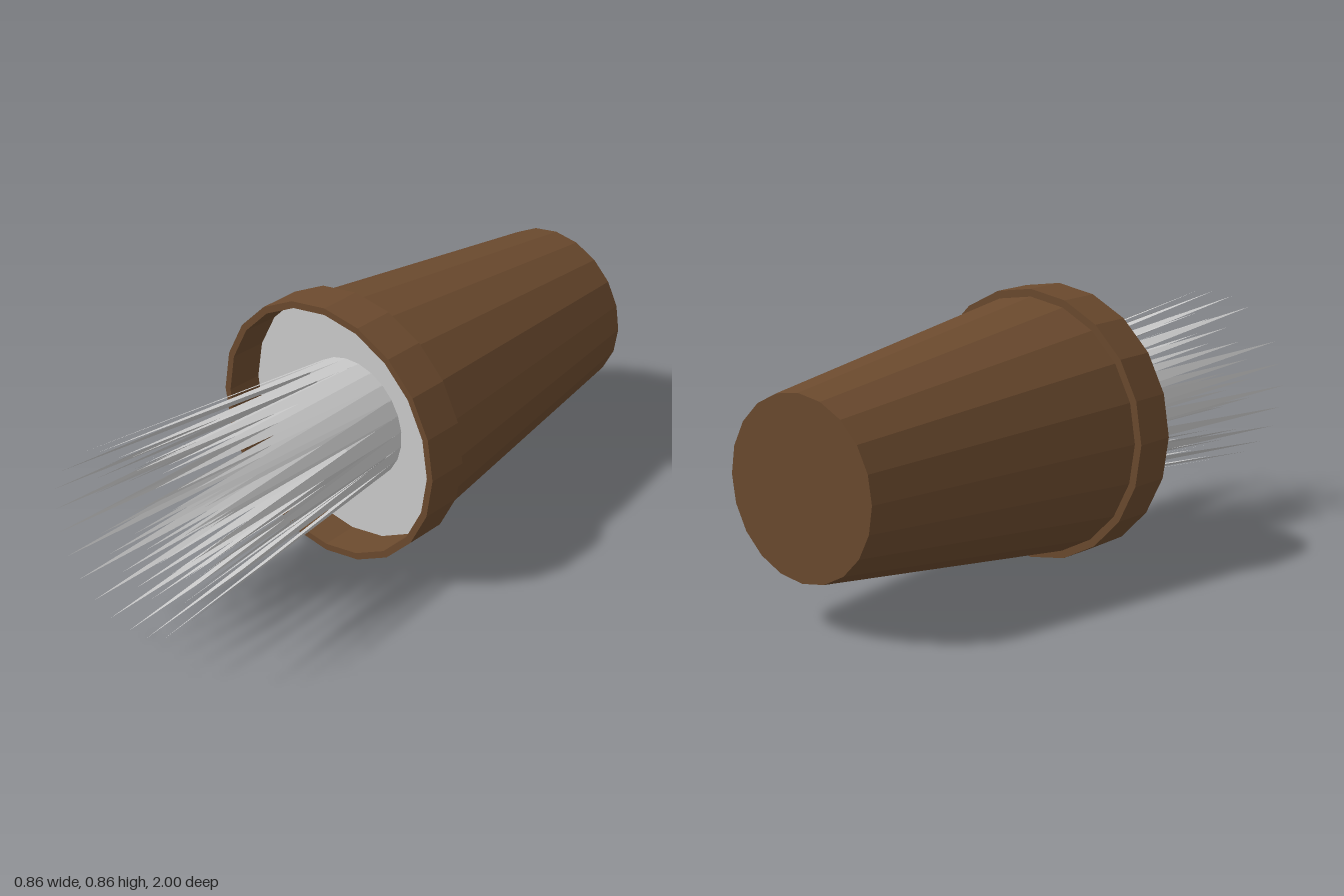
import * as THREE from 'three';

const SIDES = 20;
const SOIL_Z = 0.025;

// Turn an outline of [radius, z] points around the z axis
function turned(name, outline, material) {
  const points = outline.map(([r, z]) => new THREE.Vector2(r, z));
  const geometry = new THREE.LatheGeometry(points, SIDES).rotateX(Math.PI / 2);
  const mesh = new THREE.Mesh(geometry, material);
  mesh.name = name;
  return mesh;
}

// A ring of flat, pointed blades that lean outwards
function bladeRing(name, { count, baseR, tipR, tipZ, width, turn = 0, skip = [] }, material) {
  const positions = [];
  for (let i = 0; i < count; i++) {
    if (skip.includes(i)) continue;
    const a = ((i + turn) / count) * Math.PI * 2;
    const c = Math.cos(a), s = Math.sin(a), h = width / 2;
    positions.push(
      baseR * c + h * s, baseR * s - h * c, SOIL_Z,
      tipR * c, tipR * s, tipZ,
      baseR * c - h * s, baseR * s + h * c, SOIL_Z
    );
  }
  const geometry = new THREE.BufferGeometry();
  geometry.setAttribute('position', new THREE.Float32BufferAttribute(positions, 3));
  geometry.computeVertexNormals();
  const mesh = new THREE.Mesh(geometry, material);
  mesh.name = name;
  return mesh;
}

export function createModel() {
  const clay = new THREE.MeshStandardMaterial({ color: 0x6b4a2e, flatShading: true });
  const grey = new THREE.MeshStandardMaterial({ color: 0xcccccc, flatShading: true });
  const leaf = new THREE.MeshStandardMaterial({ color: 0xcccccc, flatShading: true, side: THREE.DoubleSide });

  const model = new THREE.Group();
  model.name = 'pottedPlant';

  // Tapered pot lying on its side, opening towards the front
  model.add(turned('potBody', [[0, -1], [0.275, -1], [0.407, 0.02], [0, 0.02]], clay));

  // Thicker collar around the opening
  model.add(turned('potRim', [[0.405, 0.01], [0.43, 0.01], [0.43, 0.15], [0.408, 0.15], [0.405, 0.01]], clay));

  // Soil filling the pot up to the collar
  const soil = new THREE.Mesh(new THREE.CircleGeometry(0.406, SIDES), grey);
  soil.name = 'soil';
  soil.position.z = SOIL_Z;
  model.add(soil);

  // Three rings of blades, the outermost the longest
  const blades = new THREE.Group();
  blades.name = 'blades';
  blades.add(
    bladeRing('outerBlades', { count: 24, baseR: 0.2, tipR: 0.292, tipZ: 1, width: 0.055, skip: [9, 21] }, leaf),
    bladeRing('middleBlades', { count: 22, baseR: 0.165, tipR: 0.23, tipZ: 0.9, width: 0.05, turn: 0.5 }, leaf),
    bladeRing('innerBlades', { count: 20, baseR: 0.13, tipR: 0.185, tipZ: 0.82, width: 0.044 }, leaf)
  );
  model.add(blades);

  // Rest the collar on the ground
  model.children.forEach((part) => { part.position.y = 0.43; });
  return model;
}
